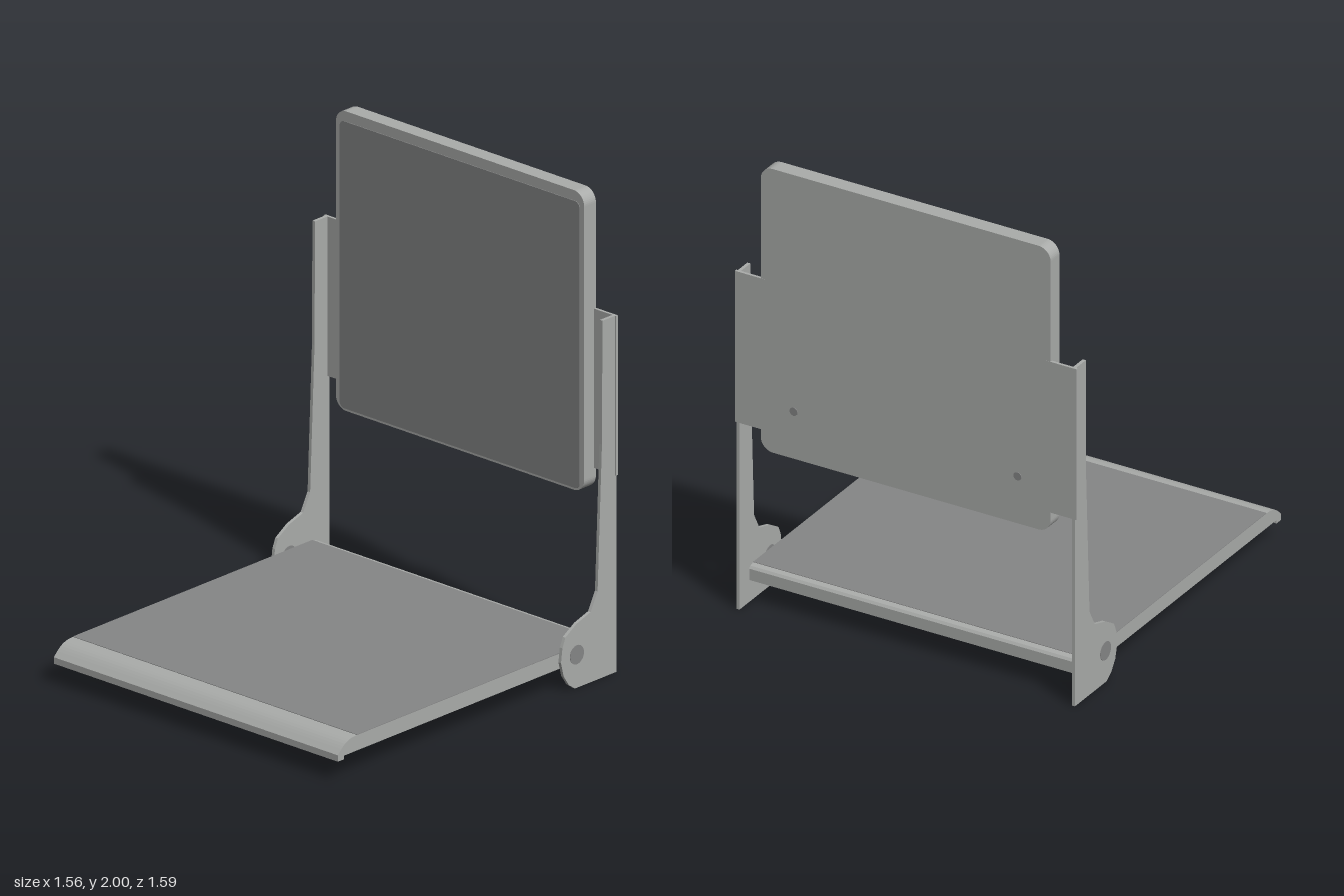
import * as THREE from 'three';

const light = new THREE.MeshStandardMaterial({ color: 0xaaacaa });
light.name = 'light grey shell';
const dark = new THREE.MeshStandardMaterial({ color: 0x858686 });
dark.name = 'dark grey panel';

// Closed shape from [u, v] points
const polygon = (pts) => new THREE.Shape(pts.map(([u, v]) => new THREE.Vector2(u, v)));

// Side profile in (z, y), extruded along x and centred on cx
function sideExtrude(pts, width, cx) {
  const g = new THREE.ExtrudeGeometry(polygon(pts), { depth: width, bevelEnabled: false });
  return g.rotateY(-Math.PI / 2).translate(cx + width / 2, 0, 0);
}

// Rounded panel in (x, y), extruded from z0 to z1
function roundedPanel(x, y0, y1, r, z0, z1) {
  const s = new THREE.Shape();
  s.absarc(x - r, y0 + r, r, -Math.PI / 2, 0);
  s.absarc(x - r, y1 - r, r, 0, Math.PI / 2);
  s.absarc(-x + r, y1 - r, r, Math.PI / 2, Math.PI);
  s.absarc(-x + r, y0 + r, r, Math.PI, Math.PI * 1.5);
  return new THREE.ExtrudeGeometry(s, { depth: z1 - z0, bevelEnabled: false, curveSegments: 6 }).translate(0, 0, z0);
}

// Box given by its limits
function span(x0, x1, y0, y1, z0, z1) {
  return new THREE.BoxGeometry(x1 - x0, y1 - y0, z1 - z0)
    .translate((x0 + x1) / 2, (y0 + y1) / 2, (z0 + z1) / 2);
}

export function createModel() {
  const model = new THREE.Group();
  model.name = 'stadiumSeat';
  const add = (name, geometry, material) => {
    const mesh = new THREE.Mesh(geometry, material);
    mesh.name = name;
    model.add(mesh);
  };

  // Seat: bent sheet, open underneath, with a rolled front lip
  const lip = new THREE.CubicBezierCurve(
    new THREE.Vector2(0.69, 0.165), new THREE.Vector2(0.75, 0.163),
    new THREE.Vector2(0.765, 0.14), new THREE.Vector2(0.795, 0.112),
  ).getPoints(8).map((p) => [p.x, p.y]);
  const outer = [[-0.72, 0.1], [-0.72, 0.15], [-0.712, 0.16], [-0.69, 0.165], ...lip, [0.795, 0.085], [0.76, 0.085]];
  add('seatShell', sideExtrude([...outer, [0.76, 0.115], [0.72, 0.145], [0.69, 0.15],
    [-0.7, 0.15], [-0.708, 0.145], [-0.708, 0.1]], 1.49, 0), light);
  for (const side of [1, -1]) {
    add('seatSideWall', sideExtrude([...outer, [0.76, 0.1]], 0.012, side * 0.749), light);
  }
  add('seatTopPanel', span(-0.755, 0.755, 0.164, 0.167, -0.69, 0.685), dark);
  add('seatUnderPanel', span(-0.743, 0.743, 0.147, 0.151, -0.7, 0.69), dark);

  // Backrest: rounded slab with a dark front panel
  add('backrest', roundedPanel(0.66, 0.74, 2, 0.055, -0.79, -0.723), light);
  add('backrestPanel', roundedPanel(0.638, 0.75, 1.957, 0.025, -0.724, -0.72), dark);

  // Side brackets with wings holding the backrest, and hinge discs
  const bracket = [[-0.79, 0], [-0.55, 0], [-0.585, 0.01], [-0.55, 0.005]].slice(0, 2).concat([
    [-0.515, 0.025], [-0.485, 0.07], [-0.47, 0.13], [-0.478, 0.19], [-0.495, 0.23], [-0.56, 0.27],
    [-0.64, 0.295], [-0.68, 0.37], [-0.705, 0.98], [-0.708, 1.5], [-0.79, 1.5]]);
  for (const side of [1, -1]) {
    add('sideBracket', sideExtrude(bracket, 0.014, side * 0.764), light);
    const [a, b] = side > 0 ? [0.64, 0.778] : [-0.778, -0.64];
    add('bracketWing', span(a, b, 0.83, 1.5, -0.791, -0.779), light);
    add('hingeDisc', new THREE.CylinderGeometry(0.04, 0.04, 0.018, 20)
      .rotateZ(Math.PI / 2).translate(side * 0.764, 0.14, -0.56), dark);
    add('backScrew', new THREE.CylinderGeometry(0.018, 0.018, 0.006, 12)
      .rotateX(Math.PI / 2).translate(side * 0.51, 0.95, -0.79), dark);
  }
  return model;
}
